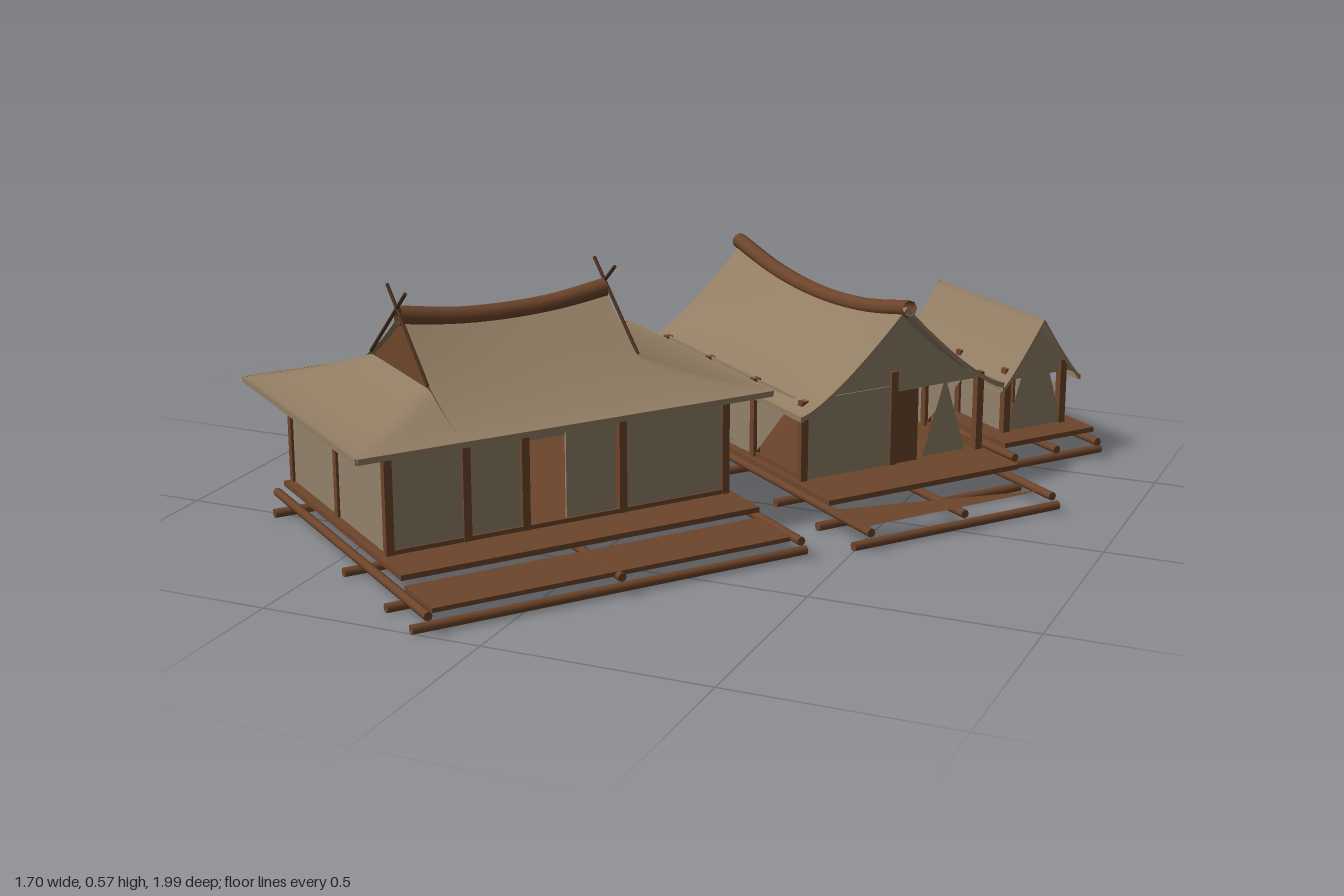
import * as THREE from 'three';

const flat = (name, color, side = THREE.FrontSide) => {
  const m = new THREE.MeshStandardMaterial({ color, side });
  m.name = name;
  return m;
};

export function createModel() {
  const thatch = flat('thatch', 0x927d63, THREE.DoubleSide);
  const plaster = flat('wallPanel', 0x92816a, THREE.DoubleSide);
  const wood = flat('wood', 0x6e452b, THREE.DoubleSide);
  const darkWood = flat('darkWood', 0x4a2f1e);

  const add = (parent, name, geo, mat) => {
    const mesh = new THREE.Mesh(geo, mat);
    mesh.name = name;
    parent.add(mesh);
    return mesh;
  };
  // Box given by its minimum and maximum corners
  const box = (p, name, mat, x0, x1, y0, y1, z0, z1) =>
    add(p, name, new THREE.BoxGeometry(x1 - x0, y1 - y0, z1 - z0), mat)
      .position.set((x0 + x1) / 2, (y0 + y1) / 2, (z0 + z1) / 2);
  // Round pole between two points
  const pole = (p, name, mat, a, b, r) => {
    const s = new THREE.Vector3(...a), e = new THREE.Vector3(...b), d = e.clone().sub(s);
    const m = add(p, name, new THREE.CylinderGeometry(r, r, d.length(), 8), mat);
    m.position.copy(s).add(e).multiplyScalar(0.5);
    m.quaternion.setFromUnitVectors(new THREE.Vector3(0, 1, 0), d.normalize());
  };
  // Curved sheet from a rule (u, v) -> [x, y, z]
  const sheet = (nu, nv, rule) => {
    const pos = [], idx = [], w = nu + 1;
    for (let j = 0; j <= nv; j++) for (let i = 0; i <= nu; i++) pos.push(...rule(i / nu, j / nv));
    for (let j = 0; j < nv; j++) for (let i = 0; i < nu; i++) {
      const a = j * w + i;
      idx.push(a, a + w, a + 1, a + 1, a + w, a + w + 1);
    }
    const g = new THREE.BufferGeometry();
    g.setAttribute('position', new THREE.Float32BufferAttribute(pos, 3));
    g.setIndex(idx);
    g.computeVertexNormals();
    return g;
  };
  const triangle = (p, name, mat, ...corners) => {
    const g = new THREE.BufferGeometry();
    g.setAttribute('position', new THREE.Float32BufferAttribute(corners.flat(), 3));
    g.computeVertexNormals();
    add(p, name, g, mat);
  };
  const lerp = THREE.MathUtils.lerp;
  const ridge = (p, pts, r) => add(p, 'ridgeCap', new THREE.TubeGeometry(
    new THREE.CatmullRomCurve3(pts.map(q => new THREE.Vector3(...q))), 20, r, 8), wood);
  // Two crossing layers of ground poles
  const groundPoles = (p, xs, zs, x0, x1, z0, z1) => {
    xs.forEach(x => pole(p, 'lowerPole', wood, [x, 0.011, z0], [x, 0.011, z1], 0.011));
    zs.forEach(z => pole(p, 'upperPole', wood, [x0, 0.045, z], [x1, 0.045, z], 0.01));
  };
  const posts = (p, xs, zs, y1) => xs.forEach(x => zs.forEach(z =>
    box(p, 'post', wood, x - 0.009, x + 0.009, 0.07, y1, z - 0.009, z + 0.009)));
  const wallX = (p, name, mat, x, z0, z1, y0, y1) => box(p, name, mat, x - 0.003, x + 0.003, y0, y1, z0, z1);
  const wallZ = (p, name, mat, z, x0, x1, y0, y1) => box(p, name, mat, x0, x1, y0, y1, z - 0.003, z + 0.003);

  const model = new THREE.Group();
  model.name = 'thatchedHuts';
  model.rotation.y = -0.654;
  const hut = name => {
    const g = new THREE.Group();
    g.name = name;
    model.add(g);
    return g;
  };

  // ---- Main hall with hip-and-gable roof ----
  const hall = hut('mainHall');
  {
    const cx = -0.034, half = 0.337, cz = 0.43, z0 = -0.06, z1 = 0.918, gz = 0.25;
    const rise = d => 0.317 + 0.165 * Math.pow(Math.max(d, 0) / half, 1.42);
    const sweep = z => 0.022 * Math.pow((z - cz) / gz, 2);
    const mainY = (x, z) => {
      const d = half - Math.abs(x - cx);
      return rise(d) + sweep(z) * Math.pow(d / half, 2);
    };
    const hipY = (x, z) => Math.min(rise(half - Math.abs(x - cx)), rise(Math.min(z - z0, z1 - z) * 0.74));
    const roof = (za, zb, f) => add(hall, 'roof', sheet(32, 14, (u, v) => {
      const x = cx + (u * 2 - 1) * half, z = lerp(za, zb, v);
      return [x, f(x, z), z];
    }), thatch);
    roof(cz - gz, cz + gz, mainY);
    roof(z0, cz - gz, hipY);
    roof(cz + gz, z1, hipY);
    // Eave edges
    for (const s of [-1, 1]) {
      const x = cx + s * half, z = s < 0 ? z0 : z1;
      box(hall, 'eaveEdge', thatch, x - 0.004, x + 0.004, 0.305, 0.318, z0, z1);
      box(hall, 'eaveEdge', thatch, cx - half, cx + half, 0.305, 0.318, z - 0.004, z + 0.004);
      // Gable infill and crossed finials
      const g = cz + s * (gz - 0.012);
      add(hall, 'gable', sheet(12, 1, (u, v) => {
        const x = cx + (u * 2 - 1) * 0.165;
        return [x, lerp(0.375, mainY(x, g) - 0.003, v), g];
      }), wood);
      for (const t of [-1, 1])
        pole(hall, 'crossedFinial', darkWood, [cx + t * 0.156, 0.39, cz + s * 0.252],
          [cx - t * 0.05, 0.566, cz + s * 0.252], 0.004);
    }
    ridge(hall, [[cx, 0.507, cz - gz], [cx, 0.486, cz - 0.1], [cx, 0.486, cz + 0.1], [cx, 0.507, cz + gz]], 0.022);

    // Floor, step and poles
    box(hall, 'floor', wood, -0.315, 0.362, 0.064, 0.076, 0.005, 0.855);
    box(hall, 'step', wood, 0.365, 0.505, 0.044, 0.054, 0.015, 0.85);
    groundPoles(hall, [-0.29, 0.13, 0.36, 0.49], [-0.005, 0.43, 0.865], -0.335, 0.52, -0.035, 0.89);

    // Walls
    const xa = -0.308, xb = 0.24, za = 0.025, zb = 0.83, top = 0.325, len = zb - za;
    posts(hall, [xa, xb], [za, zb], top);
    posts(hall, [xa, cx], [za, cz, zb].filter(z => z !== cz), top);
    posts(hall, [xa], [cz], top);
    posts(hall, [xb], [0.22, 0.39, 0.68].map(f => zb - f * len), top);
    for (const z of [za, zb]) wallZ(hall, 'endWall', plaster, z, xa, xb, 0.076, top);
    wallX(hall, 'backWall', plaster, xa, za, zb, 0.076, top);
    for (const [f0, f1, dx] of [[0, 0.22, 0], [0.22, 0.39, -0.006], [0.52, 0.68, -0.014], [0.68, 1, 0]])
      wallX(hall, 'frontPanel', plaster, xb + dx, zb - f1 * len, zb - f0 * len, 0.076, f0 === 0.52 ? 0.29 : top);
    wallX(hall, 'doorLintel', wood, xb, zb - 0.68 * len, zb - 0.39 * len, 0.283, 0.297);
    wallX(hall, 'sill', wood, xb + 0.004, za, zb, 0.076, 0.086);
  }

  // ---- Gabled huts with the ridge along x ----
  const gableRoof = (p, x0, x1, cz, half, roofY, inset) => {
    add(p, 'roof', sheet(20, 28, (u, v) => {
      const x = lerp(x0, x1, u), z = cz + (v * 2 - 1) * half;
      return [x, roofY(x, z), z];
    }), thatch);
    for (const [x, g] of [[x0, x0 + inset], [x1, x1 - inset]]) {
      // Thick roof edge and the wall under the gable
      add(p, 'bargeEdge', sheet(28, 1, (u, v) => {
        const z = cz + (u * 2 - 1) * half;
        return [x, roofY(x, z) - 0.012 * v, z];
      }), thatch);
      add(p, 'gable', sheet(16, 1, (u, v) => {
        const z = cz + (u * 2 - 1) * half * 0.92, y = roofY(g, z) - 0.004;
        return [g, lerp(Math.min(y, roofY(g, cz - half) + 0.005), y, v), z];
      }), plaster);
    }
    for (const s of [-1, 1]) {
      const y = roofY((x0 + x1) / 2, cz + s * half);
      box(p, 'eaveEdge', thatch, x0, x1, y - 0.012, y, cz + s * half - 0.004, cz + s * half + 0.004);
    }
  };

  const mid = hut('saddleRoofHut');
  {
    const x0 = -0.422, x1 = 0.306, cx = -0.058, cz = -0.413, half = 0.275;
    const sag = x => Math.pow((x - cx) / 0.364, 2);
    const roofY = (x, z) => 0.245 + (0.172 + 0.045 * sag(x)) *
      Math.pow(Math.max(0, 1 - Math.abs(z - cz) / half), 1.3);
    gableRoof(mid, x0, x1, cz, half, roofY, 0.05);
    ridge(mid, [-0.44, -0.25, cx, 0.135, 0.315].map(x => [x, 0.414 + 0.045 * sag(x), cz]), 0.019);

    box(mid, 'floor', wood, -0.558, 0.402, 0.064, 0.076, -0.67, -0.15);
    triangle(mid, 'step', wood, [0.405, 0.056, -0.14], [0.535, 0.056, -0.14], [0.53, 0.056, -0.65]);
    groundPoles(mid, [-0.53, -0.3, -0.05, 0.2, 0.38, 0.525], [-0.655, -0.413, -0.165], -0.58, 0.55, -0.69, -0.135);

    const xa = -0.37, xb = 0.256, za = -0.655, zb = -0.171, top = 0.265;
    const xs = [xa, lerp(xa, xb, 1 / 3), lerp(xa, xb, 2 / 3), xb];
    posts(mid, xs, [za, zb], top);
    posts(mid, [xa, xb], [cz], 0.3);
    for (const z of [za, zb]) {
      wallZ(mid, 'sideWall', plaster, z, xs[0], xs[2], 0.076, top);
      wallZ(mid, 'railBeam', wood, z, xs[0], xs[3], 0.076, 0.086);
      // Angled screen in the open bay
      triangle(mid, 'screen', plaster, [xs[2], top, z], [xs[2], 0.08, z], [xs[3] - 0.03, top, z]);
    }
    wallX(mid, 'endWall', plaster, xa, za, zb, 0.076, top);
    wallX(mid, 'backDoor', wood, xa - 0.004, cz + 0.01, cz + 0.08, 0.076, 0.23);
    wallX(mid, 'endWall', plaster, xb, cz, zb, 0.076, top);
    wallX(mid, 'door', wood, xb, cz - 0.07, cz, 0.076, 0.25);
    triangle(mid, 'screen', plaster, [xb, top, -0.56], [xb, 0.08, -0.62], [xb, 0.08, -0.5]);
  }

  const small = hut('smallHut');
  {
    const cz = -0.872, half = 0.112;
    const roofY = (x, z) => 0.2 + 0.153 * Math.pow(Math.max(0, 1 - Math.abs(z - cz) / half), 1.12);
    gableRoof(small, -0.22, 0.218, cz, half, roofY, 0.03);
    box(small, 'floor', wood, -0.268, 0.262, 0.064, 0.076, -1.0, -0.735);
    groundPoles(small, [-0.25, 0, 0.245], [-0.995, cz, -0.748], -0.292, 0.286, -1.035, -0.71);

    const xa = -0.185, xb = 0.185, za = -0.955, zb = -0.789;
    posts(small, [xa, 0, xb], [za, zb], 0.235);
    for (const z of [za, zb]) {
      wallZ(small, 'lowWall', plaster, z, xa, xb, 0.076, 0.17);
      wallZ(small, 'topBeam', wood, z, xa, xb, 0.215, 0.228);
    }
    for (const [x, s] of [[xa, -1], [xb, 1]])
      triangle(small, 'gableScreen', plaster, [x + s * 0.006, 0.34, cz], [x + s * 0.006, 0.078, za], [x + s * 0.006, 0.078, zb]);
    wallX(small, 'backDoor', wood, xa - 0.009, cz - 0.03, cz + 0.03, 0.076, 0.2);
  }

  const root = new THREE.Group();
  root.name = 'hutCompound';
  root.add(model);
  return root;
}
